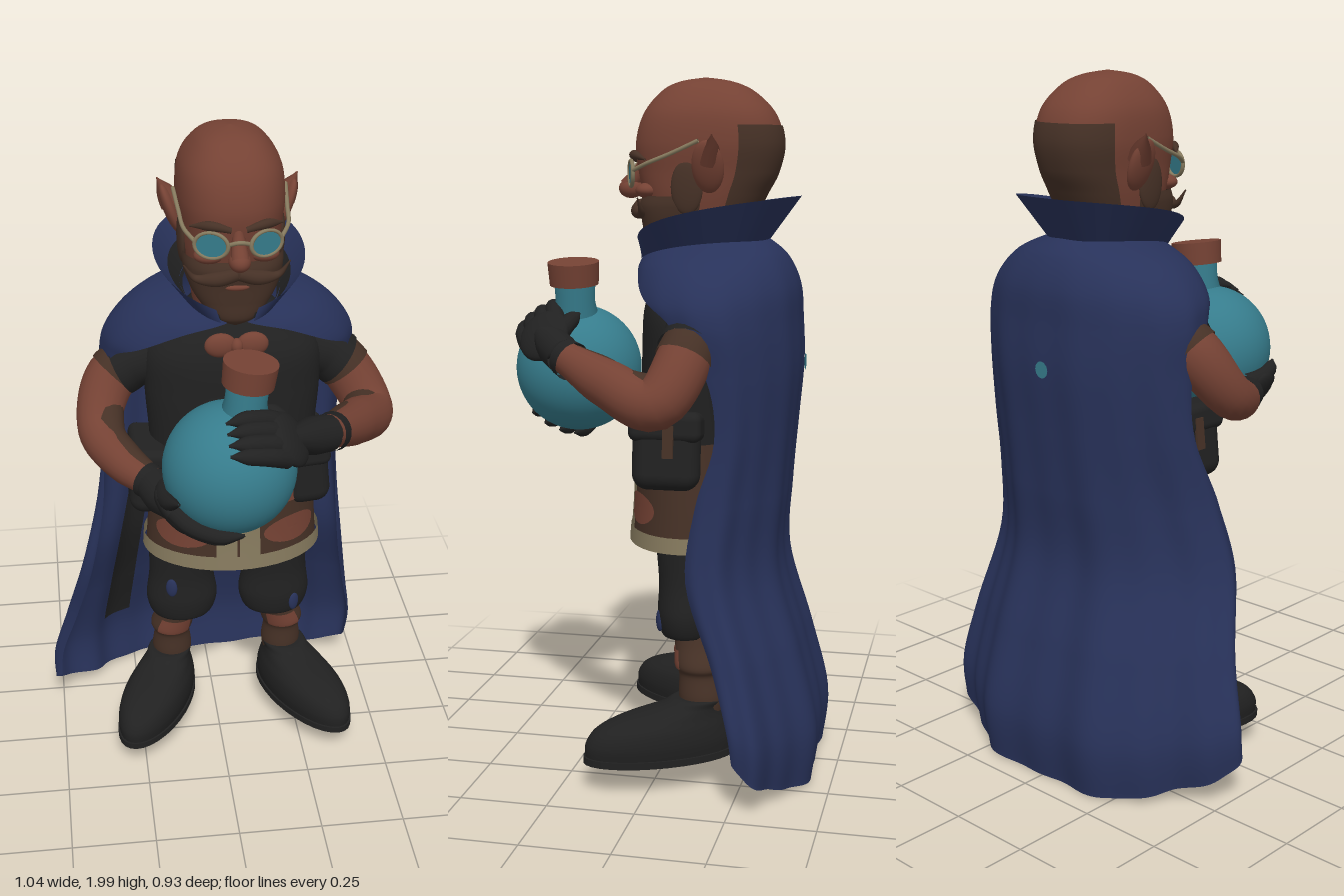
import * as THREE from 'three';
import { ParametricGeometry } from 'three/addons/geometries/ParametricGeometry.js';
import { RoundedBoxGeometry } from 'three/addons/geometries/RoundedBoxGeometry.js';

const mat = (name, color) => Object.assign(new THREE.MeshStandardMaterial({ color, side: THREE.DoubleSide }), { name });
const V = (x, y, z) => new THREE.Vector3(x, y, z);
const PI = Math.PI;

// Catmull-Rom interpolation of rows of numbers
function spline(rows, t) {
  const n = rows.length - 1, i = Math.min(Math.floor(t * n), n - 1), u = t * n - i;
  const at = k => rows[Math.max(0, Math.min(n, k))];
  return rows[0].map((_, c) => {
    const [a, b, d, e] = [at(i - 1)[c], at(i)[c], at(i + 1)[c], at(i + 2)[c]];
    return b + 0.5 * u * (d - a + u * (2 * a - 5 * b + 4 * d - e + u * (3 * (b - d) + e - a)));
  });
}

// Cross-sections [y, cx, cz, rx, rz], bottom to top; angle 0 is the front; square < 1 gives fuller corners
function loft(rows, { a0 = 0, a1 = PI * 2, grow = 0, y0 = 0, y1 = 1, square = 1 } = {}) {
  const bend = x => Math.sign(x) * Math.pow(Math.abs(x), square);
  return new ParametricGeometry((u, v, p) => {
    const [y, cx, cz, rx, rz] = spline(rows, y0 + v * (y1 - y0)), a = a0 + u * (a1 - a0);
    p.set(cx + (rx + grow) * bend(Math.sin(a)), y, cz + (rz + grow) * bend(Math.cos(a)));
  }, 40, rows.length * 5);
}

// Tube through points with evenly spaced radii
function limb(points, radii, sides = 14) {
  const curve = new THREE.CatmullRomCurve3(points), n = points.length * 7;
  const geo = new THREE.TubeGeometry(curve, n, 1, sides), pos = geo.attributes.position, p = V();
  for (let i = 0; i <= n; i++) {
    const c = curve.getPointAt(i / n), r = spline(radii.map(x => [x]), i / n)[0];
    for (let j = 0; j <= sides; j++) {
      const k = i * (sides + 1) + j;
      p.fromBufferAttribute(pos, k).sub(c).multiplyScalar(r).add(c);
      pos.setXYZ(k, p.x, p.y, p.z);
    }
  }
  return geo;
}

export function createModel() {
  const root = new THREE.Group();
  root.name = 'alchemist';
  const skin = mat('russet', 0x754234), brown = mat('dark brown', 0x463126), navy = mat('navy', 0x28325a);
  const black = mat('black', 0x212121), teal = mat('teal', 0x367c8c), tan = mat('tan', 0x867a5e);
  const add = (name, geo, m, x = 0, y = 0, z = 0, parent = root) => {
    const mesh = new THREE.Mesh(geo, m);
    mesh.name = name;
    mesh.position.set(x, y, z);
    parent.add(mesh);
    return mesh;
  };
  const blob = (name, m, x, y, z, sx, sy, sz) => {
    const b = add(name, new THREE.SphereGeometry(1, 24, 16), m, x, y, z);
    b.scale.set(sx, sy, sz);
    return b;
  };
  const X = 0.04; // middle of the head and body

  // Head
  const square = 0.8;
  const skull = [[1.46, X, -0.1, 0.1, 0.1], [1.56, X, -0.1, 0.115, 0.13], [1.62, X, -0.095, 0.125, 0.148],
    [1.68, X, -0.1, 0.135, 0.172], [1.74, X, -0.108, 0.14, 0.195], [1.82, X, -0.112, 0.148, 0.207],
    [1.9, X, -0.112, 0.138, 0.185], [1.96, X, -0.107, 0.1, 0.132], [1.988, X, -0.102, 0.057, 0.075], [2, X, -0.1, 0, 0]];
  add('head', loft(skull, { square }), skin);
  add('hair', loft(skull, { a0: 0.64 * PI, a1: 1.36 * PI, grow: 0.004, y0: 0.1, y1: 0.62, square }), brown);
  add('beard', loft([[1.475, X, 0.035, 0.005, 0.005], [1.5, X, 0.02, 0.06, 0.045], [1.55, X, -0.01, 0.105, 0.08],
    [1.6, X, -0.03, 0.13, 0.105], [1.645, X, -0.045, 0.14, 0.128], [1.675, X, -0.055, 0.139, 0.128]], { square }), brown);
  blob('nose', skin, X, 1.695, 0.115, 0.03, 0.028, 0.036);
  add('noseBridge', limb([V(X, 1.78, 0.075), V(X, 1.735, 0.095), V(X, 1.7, 0.125)], [0.012, 0.02, 0.025]), skin);
  blob('lip', skin, X, 1.602, 0.07, 0.035, 0.01, 0.012);
  for (const s of [-1, 1]) {
    const q = d => X + s * d;
    add('moustache', limb([V(X, 1.648, 0.088), V(q(0.06), 1.632, 0.08), V(q(0.115), 1.63, 0.058), V(q(0.145), 1.67, 0.062)],
      [0.018, 0.021, 0.011, 0.002]), brown);
    blob('cheek', skin, q(0.075), 1.69, 0.048, 0.042, 0.022, 0.035);
    blob('sideburn', brown, q(0.136), 1.7, -0.075, 0.014, 0.075, 0.045);
    add('eyebrow', limb([V(q(0.02), 1.775, 0.095), V(q(0.07), 1.788, 0.09), V(q(0.125), 1.775, 0.045)], [0.008, 0.013, 0.003]), brown);
    blob('ear', skin, q(0.16), 1.755, -0.138, 0.02, 0.075, 0.045).rotation.z = -s * 0.35;
    add('earTip', limb([V(q(0.155), 1.77, -0.14), V(q(0.178), 1.81, -0.15), V(q(0.195), 1.84, -0.155)], [0.034, 0.024, 0.002]), skin);
    // Spectacles
    const rim = add('glassesRim', new THREE.TorusGeometry(0.046, 0.006, 8, 28), tan, q(0.074), 1.737, 0.097);
    const lens = add('glassesLens', new THREE.CircleGeometry(0.045, 28), teal, q(0.074), 1.737, 0.099);
    for (const g of [rim, lens]) { g.scale.y = 0.78; g.rotation.y = s * 0.35; }
    add('glassesArm', limb([V(q(0.116), 1.745, 0.082), V(q(0.141), 1.765, 0.035), V(q(0.148), 1.79, -0.03), V(q(0.155), 1.825, -0.11)],
      [0.006, 0.006, 0.006, 0.006], 8), tan);
  }
  add('glassesBridge', limb([V(X - 0.03, 1.74, 0.108), V(X, 1.75, 0.12), V(X + 0.03, 1.74, 0.108)], [0.006, 0.006, 0.006], 8), tan);

  // Cape: rows [back y, edge y, cx, half width, cz, depth, half angle], top to hem; it swings forward on its right
  const capeRows = [[1.56, 1.5, X, 0.14, -0.1, 0.18, 2.95], [1.51, 1.465, X, 0.265, -0.12, 0.215, 2.6],
    [1.43, 1.4, X, 0.345, -0.135, 0.235, 2.25], [1.33, 1.34, X, 0.37, -0.155, 0.222, 1.95], [1.2, 1.2, 0.035, 0.36, -0.18, 0.2, 1.6],
    [1.03, 1.03, 0.025, 0.355, -0.19, 0.175, 1.55], [0.85, 0.85, 0.015, 0.37, -0.165, 0.185, 1.7], [0.64, 0.64, 0, 0.405, -0.15, 0.19, 1.75],
    [0.4, 0.42, -0.01, 0.45, -0.22, 0.185, 1.7], [0.18, 0.26, -0.02, 0.485, -0.26, 0.195, 1.65], [0.015, 0.16, -0.025, 0.48, -0.265, 0.175, 1.6]];
  const cape = (u0, u1, v0, v1, inset) => new ParametricGeometry((u, v, p) => {
    const t = v0 + v * (v1 - v0), [yb, ye, cx, w, cz, d, A] = spline(capeRows, t), s = 2 * (u0 + u * (u1 - u0)) - 1, a = s * A;
    const fold = 1 + Math.pow(t, 1.4) * (0.03 * Math.sin(16 * a + 0.5) - 0.08 * Math.cos(7 * a));
    const swing = 0.12 * t * Math.min(0, Math.sin(a)) ** 2 * Math.min(1, Math.max(0, t * 3 - 0.8));
    p.set(cx + (w - inset) * Math.sin(a) * (0.5 + 0.5 * fold), yb + (ye - yb) * Math.abs(s) ** 2.4, cz - (d - inset) * Math.cos(a) * fold + swing);
  }, 110, 60);
  add('cape', cape(0, 1, 0, 1, 0), navy);
  add('capeLiningRight', cape(0.26, 0.34, 0.58, 0.88, 0.007), black);
  add('capeLiningLeft', cape(0.64, 0.72, 0.74, 0.88, 0.007), black);
  // Flared collar, open at the throat, dark inside at the neck
  const collar = (grow, top) => new ParametricGeometry((u, h, p) => {
    const s = 2 * u - 1, a = s * 2.9, v = h * top, w = 0.14 + 0.085 * v * (1 - 0.5 * s * s) + grow;
    const k = Math.sign(Math.sin(a)) * Math.pow(Math.abs(Math.sin(a)), 0.8);
    p.set(X + w * k, 1.55 - 0.05 * s * s + v * (0.125 - 0.085 * s * s), -0.1 - (0.18 + 0.09 * v * (1 - s * s) + grow) * Math.cos(a));
  }, 60, 8);
  add('collar', collar(0, 1), navy);
  add('collarLining', collar(-0.008, 0.55), black);
  add('capeSpot', new THREE.CircleGeometry(0.024, 12), teal, 0.02, 1.21, -0.388).rotation.y = PI;
  for (const s of [-1, 1]) blob('bow', skin, X + s * 0.045, 1.425, 0.06, 0.045, 0.036, 0.02);
  blob('bowKnot', skin, X, 1.425, 0.068, 0.018, 0.022, 0.02);

  // Torso and tunic
  add('vest', loft([[0.97, 0.045, -0.07, 0.24, 0.15], [1.1, 0.045, -0.07, 0.245, 0.145], [1.25, 0.045, -0.07, 0.255, 0.14],
    [1.36, 0.045, -0.08, 0.25, 0.145], [1.44, X, -0.09, 0.18, 0.13], [1.52, X, -0.1, 0.09, 0.09]]), black);
  const tunic = [[0.7, 0.045, -0.08, 0.262, 0.18], [0.8, 0.045, -0.08, 0.255, 0.172], [0.9, 0.045, -0.075, 0.248, 0.163], [1.0, 0.045, -0.07, 0.243, 0.155]];
  add('tunic', loft(tunic), brown);
  add('tunicHem', loft(tunic, { grow: 0.01, y1: 0.17 }), tan);
  add('tunicUnderside', new THREE.CylinderGeometry(1, 1, 0.01, 32), black, 0.045, 0.725, -0.08).scale.set(0.255, 1, 0.175);
  for (const s of [-1, 1]) {
    add('tunicPanel', loft(tunic, { a0: s * 0.3, a1: s * 1.15, grow: 0.004, y0: 0.66 }), skin);
    add('tunicTrim', loft(tunic, { a0: s * 0.015, a1: s * 0.25, grow: 0.008, y0: 0.1 }), tan);
    add('tunicPatch', new ParametricGeometry((u, v, p) => {
      const a = u * 2 * PI, [y, cx, cz, rx, rz] = spline(tunic, 0.36 + 0.14 * v * Math.sin(a)), t = s * (0.72 + 0.42 * v * Math.cos(a));
      p.set(cx + (rx + 0.005) * Math.sin(t), y, cz + (rz + 0.005) * Math.cos(t));
    }, 24, 4), skin);
  }
  // Belt pouches
  for (const [s, px, w] of [[-1, -0.215, 0.095], [1, 0.255, 0.135]]) {
    const pouch = new THREE.Group();
    pouch.name = 'pouch';
    pouch.position.set(px, 0.98, -0.04);
    pouch.rotation.z = s * 0.1;
    root.add(pouch);
    add('pouchBag', new RoundedBoxGeometry(w, 0.215, 0.19, 5, 0.045), black, 0, 0, 0, pouch);
    add('pouchFlap', new RoundedBoxGeometry(w + 0.014, 0.085, 0.205, 4, 0.025), black, 0, 0.07, 0, pouch);
    add('pouchStrap', new THREE.BoxGeometry(0.008, 0.09, 0.03), brown, s * (w / 2 + 0.007), 0.03, -0.015, pouch);
  }

  // Legs and boots
  for (const [s, lx, bx, kx, ky] of [[-1, -0.11, -0.2, -0.148, 0.57], [1, 0.18, 0.275, 0.235, 0.485]]) {
    const ax = bx - s * 0.06;
    add('trouserLeg', loft([[0.46, lx, -0.08, 0.06, 0.05], [0.44, lx, -0.08, 0.09, 0.07], [0.5, lx, -0.08, 0.11, 0.083], [0.6, lx, -0.08, 0.1, 0.08],
      [0.75, lx - s * 0.012, -0.08, 0.112, 0.095], [0.88, lx - s * 0.02, -0.08, 0.11, 0.1]]), black);
    const patch = blob('kneePatch', navy, kx, ky, -0.08 + 0.081 * Math.cos((kx - lx) * 10), 0.018, 0.032, 0.009);
    patch.rotation.y = (kx - lx) * 10;
    const shin = [[0.22, ax, -0.13, 0.055, 0.06], [0.27, ax, -0.13, 0.062, 0.066], [0.33, ax, -0.125, 0.056, 0.06], [0.36, ax, -0.125, 0.066, 0.07],
      [0.42, (ax + lx) / 2, -0.115, 0.06, 0.066], [0.5, lx, -0.1, 0.06, 0.06]];
    add('shinWrap', loft(shin), brown);
    add('shinBand', loft(shin, { a0: -0.8, a1: 0.8, grow: 0.003, y0: 0.55, y1: 0.75 }), skin);
    const foot = new THREE.Group();
    foot.name = 'boot';
    foot.position.set(bx, 0, -0.02);
    foot.rotation.y = s * 0.48;
    root.add(foot);
    add('bootUpper', loft([[0.105, 0, 0, 0.09, 0.215], [0.15, 0, 0, 0.097, 0.215], [0.19, 0, -0.01, 0.093, 0.195], [0.22, 0, -0.04, 0.08, 0.155],
      [0.245, 0, -0.09, 0.068, 0.095], [0.265, 0, -0.115, 0.064, 0.072], [0.262, 0, -0.115, 0.03, 0.03]]), black, 0, 0, 0, foot);
    add('bootSole', new THREE.CylinderGeometry(1, 1, 0.02, 32), black, 0, 0.107, 0, foot).scale.set(0.098, 1, 0.222);
  }

  // Flask
  const C = V(-0.007, 1.17, 0.288), R = 0.185;
  add('flask', new THREE.SphereGeometry(R, 40, 28), teal, C.x, C.y, C.z);
  add('flaskNeck', limb([V(0.03, 1.31, 0.287), V(0.036, 1.37, 0.286), V(0.042, 1.43, 0.285)], [0.072, 0.058, 0.06], 24), teal);
  add('cork', new THREE.CylinderGeometry(0.075, 0.071, 0.066, 28), skin, 0.045, 1.452, 0.287).rotation.z = -0.12;

  // Arms
  const arms = [
    { s: -1, pts: [V(-0.17, 1.33, -0.11), V(-0.295, 1.265, -0.12), V(-0.345, 1.14, -0.03), V(-0.285, 1.09, 0.1), V(-0.21, 1.07, 0.19)], r: [0.06, 0.075, 0.066, 0.058, 0.042] },
    { s: 1, pts: [V(0.25, 1.34, -0.11), V(0.36, 1.28, -0.12), V(0.45, 1.14, -0.05), V(0.375, 1.18, 0.1), V(0.27, 1.235, 0.25)], r: [0.06, 0.075, 0.07, 0.064, 0.045] }];
  for (const { s, pts, r } of arms) {
    add('arm', limb(pts, r, 20), skin);
    const curve = new THREE.CatmullRomCurve3(pts);
    const section = (name, a, b, grow, m, shift = 0) => {
      const ts = [0, 0.33, 0.66, 1].map(k => a + k * (b - a));
      add(name, limb(ts.map(t => curve.getPointAt(t).add(V(-s * shift, shift, 0))), ts.map(t => spline(r.map(x => [x]), t)[0] + grow), 20), m);
    };
    section('sleeve', 0, 0.2, 0.01, black);
    section('sleeveLining', 0.18, 0.25, 0.004, brown);
    section('forearmShade', 0.45, 0.94, -0.014, brown, 0.014);
    section('gloveCuff', 0.95, 1, 0.008, black);
  }

  // Gloved hands, with fingers following the flask
  const onFlask = (d, lift) => d.clone().normalize().multiplyScalar(R + lift).add(C);
  const finger = (name, a, b, w = 0.024) => add(name, limb([0, 0.33, 0.66, 0.95, 1].map(t => onFlask(a.clone().lerp(b, t), 0.01)),
    [w * 1.2, w * 1.15, w * 1.05, w * 0.9, 0.004], 12), black);
  const palm = (name, wrist, d) => {
    const p = onFlask(d, 0.012), b = blob(name, black, p.x, p.y, p.z, 0.08, 0.08, 0.03);
    b.lookAt(C);
    add(name + 'Wrist', limb([wrist, wrist.clone().lerp(p, 0.5), p], [0.052, 0.052, 0.033]), black);
  };
  palm('lowerHand', arms[0].pts[4], V(-0.78, -0.6, 0.1));
  palm('upperHand', arms[1].pts[4], V(0.78, 0.55, 0.3));
  for (let i = 0; i < 4; i++) {
    finger('lowerFinger', V(-0.85, -0.62 + 0.06 * i, -0.12 + 0.17 * i), V(0.12, -0.97 + 0.1 * i, 0.04 + 0.21 * i));
    finger('upperFinger', V(0.72, 0.72 - 0.1 * i, 0.12 + 0.15 * i), V(-0.1, 0.86 - 0.07 * i, 0.38 + 0.15 * i));
  }
  finger('lowerThumb', V(-0.88, -0.4, -0.2), V(-0.78, -0.2, 0.62));
  finger('upperThumb', V(0.8, 0.5, 0.1), V(0.48, 0.88, -0.15));
  return root;
}
